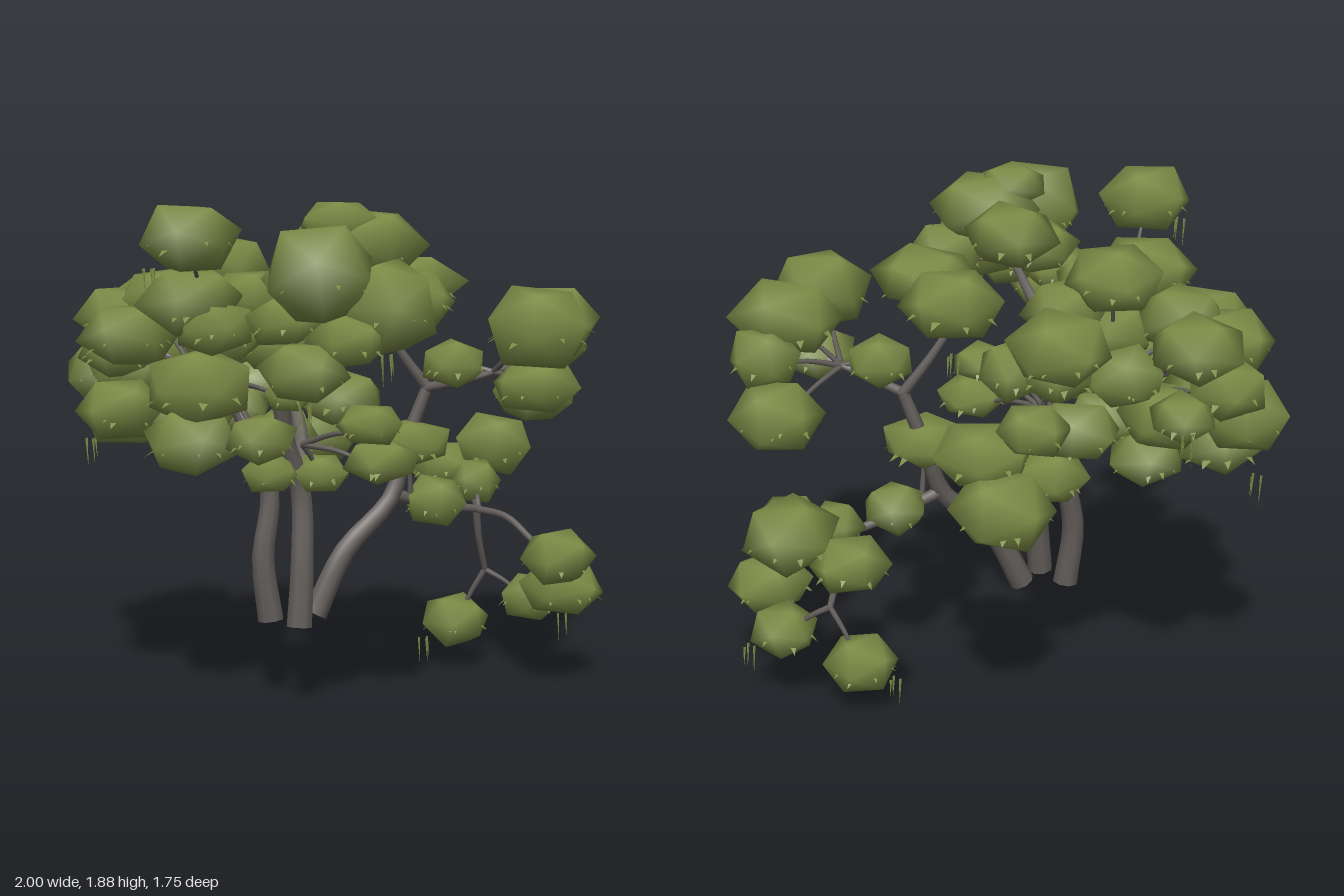
import * as THREE from 'three';
import { mergeGeometries, mergeVertices } from 'three/addons/utils/BufferGeometryUtils.js';

const bark = new THREE.MeshStandardMaterial({ color: 0x625d5a });
bark.name = 'bark grey';
const leaf = new THREE.MeshStandardMaterial({ color: 0x7c8b46, side: THREE.DoubleSide });
leaf.name = 'leaf green';

const V = (p) => new THREE.Vector3(p[0], p[1], p[2]);

let seed = 7;
const rand = () => {
  seed = (seed * 16807) % 2147483647;
  return seed / 2147483647;
};

// Limb: a tube narrowing from r0 to r1, closed at its foot
function limb(points, r0, r1, sides = 8) {
  const curve = new THREE.CatmullRomCurve3(points.map(V));
  const n = points.length * 3;
  const tube = new THREE.TubeGeometry(curve, n, 1, sides, false);
  const pos = tube.attributes.position;
  const v = new THREE.Vector3();
  for (let i = 0; i <= n; i++) {
    const c = curve.getPointAt(i / n);
    const r = r0 + (r1 - r0) * (i / n);
    for (let j = 0; j <= sides; j++) {
      const k = i * (sides + 1) + j;
      v.fromBufferAttribute(pos, k).sub(c).multiplyScalar(r).add(c);
      pos.setXYZ(k, v.x, v.y, v.z);
    }
  }
  const cap = new THREE.CircleGeometry(r0, sides);
  const back = curve.getTangentAt(0).negate();
  cap.applyQuaternion(new THREE.Quaternion().setFromUnitVectors(new THREE.Vector3(0, 0, 1), back));
  cap.translate(...points[0]);
  return mergeGeometries([tube, cap]);
}

// Leaf clump: an uneven, flattened icosahedron with smooth normals
function clump([x, y, z, r, flat = 0.7]) {
  let g = new THREE.IcosahedronGeometry(1, 0);
  g.deleteAttribute('normal');
  g.deleteAttribute('uv');
  g = mergeVertices(g, 1e-3);
  const pos = g.attributes.position;
  for (let i = 0; i < pos.count; i++) {
    const k = 1.06 + rand() * 0.18;
    pos.setXYZ(i, pos.getX(i) * k, pos.getY(i) * k, pos.getZ(i) * k);
  }
  g.rotateX((rand() - 0.5) * 1.2);
  g.rotateY(rand() * 6.28);
  g.scale(r, r * flat, r);
  g.translate(x, y, z);
  g.computeVertexNormals();
  return g;
}

// Leaf tips: small pointed triangles around the rim of a clump
function leafTips([x, y, z, r]) {
  const p = [];
  for (let i = 0; i < 9; i++) {
    const a = (i + rand()) * 0.698;
    const h = y - r * (0.05 + rand() * 0.25);
    for (const [da, k, dy] of [[-0.15, 0.8, 0.015], [0.15, 0.8, 0.015], [0.05, 1.06, -0.015]])
      p.push(x + Math.cos(a + da) * r * k, h + dy, z + Math.sin(a + da) * r * k);
  }
  const g = new THREE.BufferGeometry();
  g.setAttribute('position', new THREE.Float32BufferAttribute(p, 3));
  g.computeVertexNormals();
  return g;
}

// Hanging strand: two crossed ribbons tapering to a point
function strand(x, y, z, length) {
  const p = [];
  for (const [dx, dz] of [[0.005, 0], [0, 0.005]])
    p.push(x - dx, y, z - dz, x + 0.006, y - length, z, x + dx, y, z + dz);
  const g = new THREE.BufferGeometry();
  g.setAttribute('position', new THREE.Float32BufferAttribute(p, 3));
  g.computeVertexNormals();
  return g;
}

// Trunks and main boughs: points, foot radius, tip radius
const limbs = {
  leftTrunk: [[[-0.33, 0.32, 0], [-0.355, 0.55, -0.01], [-0.32, 0.8, -0.03], [-0.39, 1.02, -0.06], [-0.46, 1.2, -0.12]], 0.05, 0.026],
  frontTrunk: [[[-0.27, 0.32, 0.14], [-0.25, 0.55, 0.12], [-0.24, 0.82, 0.08], [-0.31, 1.03, 0.1], [-0.34, 1.28, 0.16]], 0.05, 0.03],
  rightTrunk: [[[-0.16, 0.33, 0.02], [-0.04, 0.56, 0.02], [0.16, 0.75, 0], [0.23, 0.95, -0.02], [0.31, 1.17, 0]], 0.048, 0.023],
  backBough: [[[-0.24, 0.82, 0.06], [-0.17, 1.0, -0.1], [-0.15, 1.15, -0.25], [-0.1, 1.2, -0.38]], 0.036, 0.018],
  crownBough: [[[-0.34, 1.25, 0.15], [-0.28, 1.38, 0.3], [-0.25, 1.5, 0.48]], 0.03, 0.015],
  upperBough: [[[0.31, 1.16, 0], [0.22, 1.28, -0.02], [0.13, 1.41, -0.03]], 0.022, 0.014],
  sideBough: [[[0.3, 1.16, 0], [0.42, 1.2, 0.12], [0.55, 1.25, 0.2]], 0.02, 0.012],
  lowBough: [[[0.16, 0.76, 0], [0.3, 0.72, -0.03], [0.45, 0.68, -0.06], [0.57, 0.66, -0.08]], 0.025, 0.015],
  droopBough: [[[0.56, 0.66, -0.08], [0.58, 0.55, -0.1], [0.63, 0.4, -0.14]], 0.016, 0.012],
  archBough: [[[0.56, 0.66, -0.08], [0.62, 0.65, 0.06], [0.66, 0.58, 0.2]], 0.015, 0.012],
  farBough: [[[0.57, 0.66, -0.08], [0.62, 0.7, -0.25], [0.67, 0.74, -0.38]], 0.016, 0.011],
};

// Foliage by bough: hub where the twigs start, then clumps as x, y, z, radius and optional flatness
const foliage = {
  leftOuter: { hub: [-0.46, 1.2, -0.12], clumps: [
    [-0.72, 1.76, 0.28, 0.155, 0.75], [-0.66, 1.53, 0.1, 0.17], [-0.82, 1.39, -0.13, 0.16],
    [-0.63, 1.22, 0.1, 0.19], [-0.84, 1.12, -0.17, 0.15], [-0.67, 1.03, 0.12, 0.16],
    [-0.82, 1.32, -0.29, 0.14], [-0.47, 1.05, 0.28, 0.12], [-0.41, 1.53, 0.01, 0.13],
    [-0.36, 0.89, 0.09, 0.1], [-0.36, 1.2, 0.28, 0.08], [-0.4, 1.62, -0.28, 0.16],
    [-0.6, 1.44, 0.18, 0.13], [-0.47, 1.38, -0.12, 0.15], [-0.6, 1.08, -0.12, 0.15]] },
  leftBack: { hub: [-0.5, 1.18, -0.25], clumps: [
    [-0.58, 1.46, -0.64, 0.155], [-0.76, 1.2, -0.64, 0.15, 0.8], [-0.74, 1.05, -0.48, 0.16],
    [-0.49, 1.26, -0.76, 0.11], [-0.61, 1.5, -0.41, 0.15], [-0.55, 1.15, -0.45, 0.15],
    [-0.75, 1.43, -0.5, 0.15], [-0.38, 1.08, -0.25, 0.13], [-0.68, 1.32, -0.68, 0.14],
    [-0.5, 0.98, -0.4, 0.13], [-0.4, 1.3, -0.42, 0.14], [-0.75, 1.24, -0.38, 0.15]] },
  crown: { hub: [-0.25, 1.48, 0.45], clumps: [
    [-0.4, 1.65, 0.68, 0.17, 0.95], [-0.15, 1.54, 0.68, 0.16, 0.95], [-0.12, 1.73, 0.42, 0.19, 0.65],
    [-0.23, 1.81, 0.43, 0.13, 0.6], [-0.3, 1.43, 0.69, 0.13], [-0.46, 1.33, 0.68, 0.14],
    [0, 1.54, 0.52, 0.15], [-0.42, 1.47, 0.4, 0.12], [-0.13, 1.7, 0.1, 0.16],
    [-0.3, 1.6, 0.28, 0.13]] },
  back: { hub: [-0.13, 1.18, -0.32], clumps: [
    [0.13, 1.08, -0.46, 0.165, 0.6], [0.1, 0.92, -0.6, 0.17, 0.75], [-0.13, 1.46, -0.52, 0.17],
    [-0.18, 1.32, -0.32, 0.16], [-0.03, 1.31, -0.28, 0.12, 0.85], [-0.13, 0.95, -0.4, 0.13],
    [-0.25, 1.5, -0.2, 0.14], [-0.2, 1.14, -0.5, 0.14], [-0.01, 1.2, -0.58, 0.12]] },
  inner: { hub: [-0.26, 1.0, 0.15], clumps: [
    [-0.11, 1.1, 0.43, 0.11, 0.6], [-0.07, 0.97, 0.43, 0.13, 0.6], [-0.17, 0.88, 0.1, 0.1]] },
  rightTop: { hub: [0.14, 1.4, -0.02], clumps: [
    [0.17, 1.55, -0.19, 0.17, 0.68], [0.19, 1.57, 0.1, 0.18, 0.52]] },
  rightSide: { hub: [0.5, 1.23, 0.17], clumps: [
    [0.5, 1.43, 0.52, 0.175, 0.8], [0.68, 1.42, 0.22, 0.19, 0.66], [0.8, 1.32, 0.08, 0.125, 0.8],
    [0.78, 1.13, -0.03, 0.155, 0.78], [0.37, 1.26, 0.1, 0.12], [0.54, 1.21, 0.43, 0.145, 0.62]] },
  rightLow: { hub: [0.24, 0.76, 0], clumps: [
    [0.22, 0.96, 0.02, 0.15, 0.55], [0.35, 0.72, -0.02, 0.11, 0.8]] },
  bend: { hub: [0.57, 0.66, -0.08], clumps: [[0.61, 0.75, -0.19, 0.095, 0.9]] },
  arch: { hub: [0.66, 0.58, 0.2], clumps: [[0.69, 0.54, 0.34, 0.13, 0.8], [0.8, 0.38, 0.18, 0.155, 0.63]] },
  drooping: { hub: [0.63, 0.4, -0.14], clumps: [[0.79, 0.29, -0.06, 0.12, 0.75], [0.53, 0.19, -0.2, 0.125, 0.8]] },
  farRight: { hub: [0.67, 0.74, -0.37], clumps: [
    [0.82, 0.85, -0.45, 0.16, 0.72], [0.63, 0.76, -0.55, 0.13, 0.68]] },
};

// Hanging vines: top point of each bunch
const vines = [[-0.87, 1.66, 0.31], [-0.47, 1.24, -0.85], [-0.84, 0.95, -0.6], [0.22, 1.43, -0.39],
  [0.41, 0.12, -0.23], [0.92, 0.22, -0.01], [-0.5, 1.24, 0.81], [-0.17, 1.38, 0.72]];

export function createModel() {
  const tree = new THREE.Group();
  tree.name = 'tree';
  const add = (name, geometry, material) => {
    const mesh = new THREE.Mesh(geometry, material);
    mesh.name = name;
    tree.add(mesh);
  };

  for (const [name, [points, r0, r1]] of Object.entries(limbs)) add(name, limb(points, r0, r1), bark);

  for (const [name, { hub, clumps }] of Object.entries(foliage)) {
    // Twigs rise from the hub into the underside of each clump
    const twigs = clumps.map(([x, y, z, r]) => {
      const end = [x, y - r * 0.3, z];
      const mid = hub.map((h, i) => (h + end[i]) / 2 + (i === 1 ? 0.02 : 0));
      return limb([hub, mid, end], 0.012, 0.006, 6);
    });
    add(name + 'Twigs', mergeGeometries(twigs), bark);
    add(name + 'Leaves', mergeGeometries(clumps.map(clump)), leaf);
    add(name + 'LeafTips', mergeGeometries(clumps.map(leafTips)), leaf);
  }

  // Each bunch has three strands of different lengths
  const strands = vines.flatMap(([x, y, z]) => [0.12, 0.1, 0.08].map((length, i) =>
    strand(x + (i - 1) * 0.018, y, z + (i % 2) * 0.03 - 0.015, length)));
  add('hangingVines', mergeGeometries(strands), leaf);
  return tree;
}
